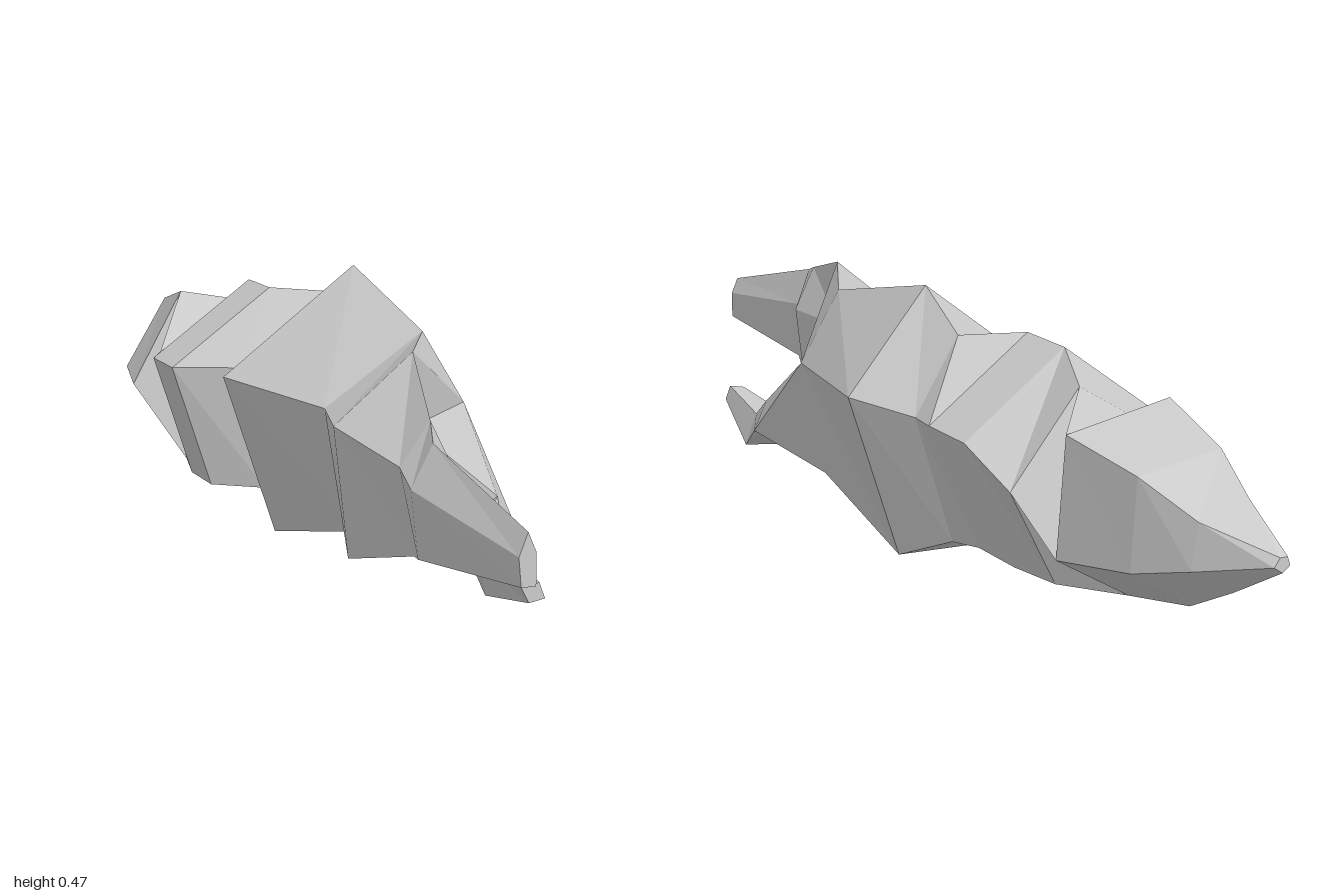
import * as THREE from 'three';
import { ConvexGeometry } from 'three/addons/geometries/ConvexGeometry.js';

const material = new THREE.MeshStandardMaterial({ color: 0xcccccc, flatShading: true, side: THREE.DoubleSide });

// One cross-section: depth z, then x, y pairs running clockwise seen from the front
const ring = (z, ...xy) => {
  const points = [];
  for (let i = 0; i < xy.length; i += 2) points.push(new THREE.Vector3(xy[i], xy[i + 1], z));
  return points;
};

// Skin a list of rings ordered back to front, closing both ends
function loft(name, rings) {
  const points = [];
  const n = rings[0].length;
  for (let s = 0; s < rings.length - 1; s++) {
    const a = rings[s], b = rings[s + 1];
    for (let i = 0; i < n; i++) {
      const j = (i + 1) % n;
      points.push(a[i], b[i], a[j], b[i], b[j], a[j]);
    }
  }
  const back = rings[0], front = rings[rings.length - 1];
  for (let i = 1; i < n - 1; i++) {
    points.push(back[0], back[i], back[i + 1], front[0], front[i + 1], front[i]);
  }
  return makeMesh(name, new THREE.BufferGeometry().setFromPoints(points));
}

function makeMesh(name, geometry) {
  geometry.computeVertexNormals();
  const mesh = new THREE.Mesh(geometry, material);
  mesh.name = name;
  return mesh;
}

export function createModel() {
  const group = new THREE.Group();
  group.name = 'pincerClaw';

  // Rings list: top, right, lower right, lower left, left
  const wrist = ring(-0.51, 0.01, 0.38, 0.135, 0.225, 0.05, 0.06, -0.12, 0.06, -0.17, 0.27);
  const palmFront = ring(0.2, 0.07, 0.4, 0.146, 0.275, 0.1, 0.065, -0.04, 0.065, -0.105, 0.28);
  const fingerBase = ring(0.4, -0.03, 0.402, -0.03, 0.28, -0.06, 0.075, -0.14, 0.073, -0.165, 0.29);

  // Tapered, twisted rear segment
  group.add(loft('rearSegment', [
    ring(-1, -0.025, 0.236, -0.015, 0.222, -0.03, 0.212, -0.043, 0.222, -0.038, 0.236),
    ring(-0.88, 0.035, 0.265, 0.045, 0.19, -0.03, 0.145, -0.105, 0.21, -0.055, 0.287),
    ring(-0.77, 0.07, 0.31, 0.08, 0.16, -0.03, 0.09, -0.16, 0.2, -0.08, 0.333),
    ring(-0.6, 0.09, 0.335, 0.105, 0.135, -0.03, 0.055, -0.197, 0.195, -0.1, 0.37),
    wrist,
  ]));

  // Middle cuff
  const cuff = [-0.03, 0.415, 0.155, 0.28, 0.06, 0.057, -0.145, 0.057, -0.217, 0.278];
  const neck = ring(-0.23, 0.07, 0.41, 0.15, 0.28, 0.08, 0.055, -0.06, 0.055, -0.11, 0.28);
  group.add(loft('cuff', [wrist, ring(-0.4, ...cuff), ring(-0.285, ...cuff), neck]));

  // Broad palm
  group.add(loft('palm', [
    neck,
    ring(-0.12, 0.07, 0.472, 0.217, 0.297, 0.122, 0.007, -0.08, 0, -0.175, 0.285),
    palmFront,
    fingerBase,
  ]));

  // Long fixed finger
  group.add(loft('longFinger', [
    fingerBase,
    ring(0.64, -0.1, 0.338, -0.06, 0.258, -0.075, 0.13, -0.125, 0.13, -0.15, 0.27),
    ring(0.71, -0.125, 0.318, -0.1, 0.25, -0.1, 0.145, -0.148, 0.143, -0.16, 0.25),
    ring(1, -0.103, 0.245, -0.09, 0.215, -0.09, 0.166, -0.113, 0.166, -0.117, 0.21),
  ]));

  // Short finger, four-sided: top, outer, bottom, inner
  const thumbBase = ring(0.4, 0.12, 0.155, 0.16, 0.11, 0.1, 0.073, 0.05, 0.1);
  thumbBase[1].z = 0.37;
  thumbBase[2].z = 0.38;
  group.add(loft('shortFinger', [
    thumbBase,
    ring(0.53, 0.08, 0.093, 0.103, 0.035, 0.042, 0.027, 0.025, 0.09),
    ring(0.73, 0.042, 0.096, 0.052, 0.07, 0.025, 0.065, 0.012, 0.09),
  ]));

  // Web joining the palm to the short finger
  group.add(makeMesh('fingerWeb', new ConvexGeometry([
    palmFront[1], palmFront[2], fingerBase[1], fingerBase[2], ...thumbBase.slice(0, 3),
  ])));

  return group;
}
